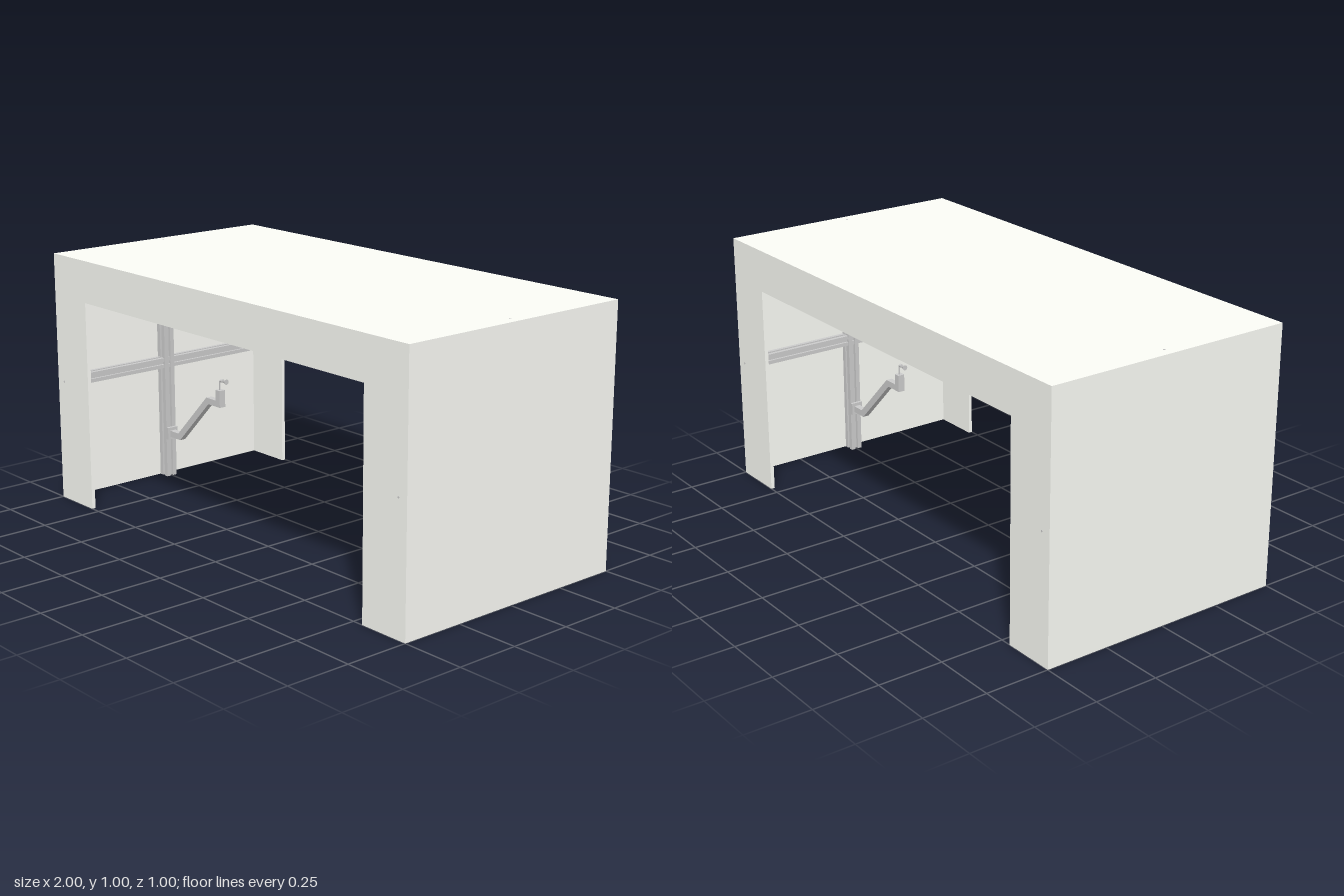
import * as THREE from 'three';

const T = 0.015; // wall thickness
const panelMaterial = new THREE.MeshStandardMaterial({ color: 0xfbfcf6, flatShading: true });
const metalMaterial = new THREE.MeshStandardMaterial({ color: 0xcccccc, flatShading: true });

function add(parent, name, material, geometry, x = 0, y = 0, z = 0) {
  const mesh = new THREE.Mesh(geometry, material);
  mesh.name = name;
  mesh.position.set(x, y, z);
  parent.add(mesh);
  return mesh;
}

function outline(points) {
  return new THREE.Shape(points.map(([x, y]) => new THREE.Vector2(x, y)));
}

function extrude(shape, depth) {
  return new THREE.ExtrudeGeometry(shape, { depth, bevelEnabled: false });
}

// Square rail section with a slot in each side
function railSection(h) {
  const slot = 0.006, deep = 0.012;
  const side = [[h, -h], [h, -slot], [deep, -slot], [deep, slot], [h, slot]];
  const points = [];
  for (let i = 0; i < 4; i++) {
    const c = [1, 0, -1, 0][i], s = [0, 1, 0, -1][i];
    side.forEach(([x, y]) => points.push([x * c - y * s, x * s + y * c]));
  }
  return outline(points);
}

function createShell() {
  const shell = new THREE.Group();
  shell.name = 'shell';
  // Front and back panels with a wide doorway
  const arch = outline([
    [-1, 0], [-0.793, 0], [-0.793, 0.835], [0.793, 0.835],
    [0.793, 0], [1, 0], [1, 1], [-1, 1],
  ]);
  add(shell, 'frontPanel', panelMaterial, extrude(arch, T), 0, 0, 0.5 - T);
  add(shell, 'backPanel', panelMaterial, extrude(arch, T), 0, 0, -0.5);
  // Roof and side walls
  add(shell, 'roof', panelMaterial, new THREE.BoxGeometry(2, T, 1 - 2 * T), 0, 1 - T / 2, 0);
  for (const s of [-1, 1]) {
    add(shell, s > 0 ? 'leftWall' : 'rightWall', panelMaterial,
      new THREE.BoxGeometry(T, 1 - T, 1 - 2 * T), s * (1 - T / 2), (1 - T) / 2, 0);
  }
  return shell;
}

// Rails and jointed arm on the left wall, reaching towards the centre
function createArmUnit(name) {
  const unit = new THREE.Group();
  unit.name = name;
  const part = (...args) => add(unit, args[0], metalMaterial, ...args.slice(1));
  const railX = 0.96;

  const post = part('verticalRail', extrude(railSection(0.024), 1 - T), railX, 0, 0);
  post.rotation.x = -Math.PI / 2;
  part('horizontalRail', extrude(railSection(0.021), 1 - 2 * T), railX, 0.49, -0.5 + T);

  // Pin tips showing at the rail ends
  const pin = new THREE.CylinderGeometry(0.004, 0.004, T + 0.002, 8);
  part('topPin', pin, railX, 1 - T / 2, 0);
  for (const s of [-1, 1]) {
    part('endPin', pin, railX, 0.49, s * (0.5 - T / 2)).rotation.x = Math.PI / 2;
  }

  // Bracket holding the arm on the post
  part('armBracket', new THREE.BoxGeometry(0.012, 0.05, 0.048), railX - 0.03, 0.188, 0);

  // Bent arm of square bar
  const arm = outline([
    [0.935, 0.174], [0.935, 0.2], [0.869, 0.2], [0.674, 0.395],
    [0.59, 0.395], [0.59, 0.37], [0.661, 0.37], [0.857, 0.174],
  ]);
  part('arm', extrude(arm, 0.026), 0, 0, -0.013);
  part('armHead', new THREE.BoxGeometry(0.026, 0.07, 0.028), 0.598, 0.405, 0);

  // Thin stem with a flared tip
  const stemPath = new THREE.CurvePath();
  const v = (x, y) => new THREE.Vector3(x, y, 0);
  stemPath.add(new THREE.LineCurve3(v(0.6, 0.435), v(0.6, 0.472)));
  stemPath.add(new THREE.QuadraticBezierCurve3(v(0.6, 0.472), v(0.6, 0.48), v(0.592, 0.48)));
  stemPath.add(new THREE.LineCurve3(v(0.592, 0.48), v(0.57, 0.48)));
  part('stem', new THREE.TubeGeometry(stemPath, 20, 0.003, 8));
  const nozzle = new THREE.CylinderGeometry(0.011, 0.004, 0.018, 12);
  part('nozzle', nozzle, 0.566, 0.48, 0).rotation.z = Math.PI / 2;
  const collar = new THREE.CylinderGeometry(0.007, 0.007, 0.012, 12);
  part('collar', collar, 0.586, 0.48, 0).rotation.z = Math.PI / 2;
  return unit;
}

export function createModel() {
  const model = new THREE.Group();
  model.name = 'doubleArmEnclosure';
  const rightUnit = createArmUnit('rightArmUnit');
  rightUnit.rotation.y = Math.PI;
  model.add(createShell(), createArmUnit('leftArmUnit'), rightUnit);
  return model;
}
